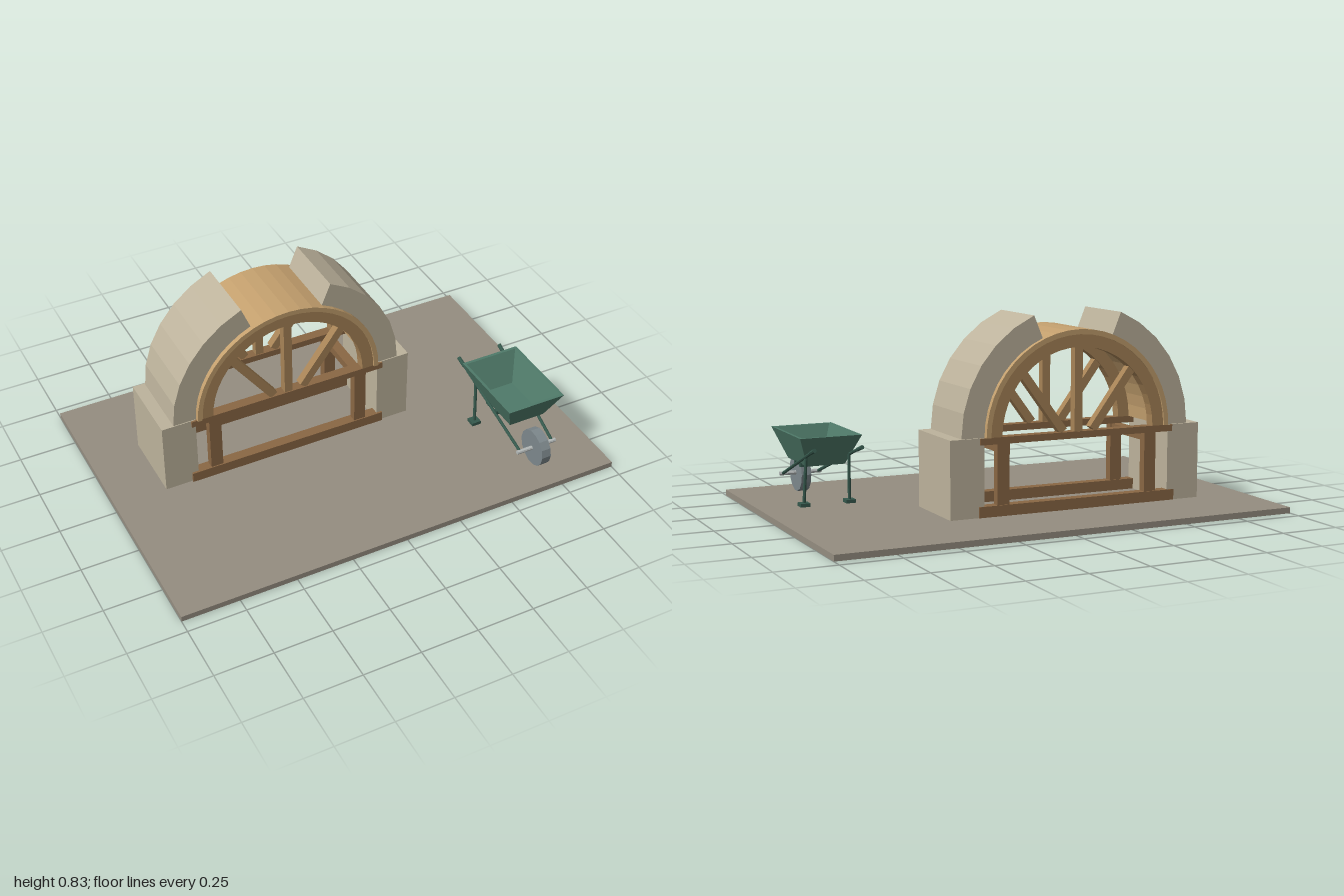
import * as THREE from 'three';

const mat = (color, side = THREE.FrontSide) =>
  new THREE.MeshStandardMaterial({ color, flatShading: true, side });
const GROUND = mat(0x958d80), STONE = mat(0xbdb39c), BOARD = mat(0xc4a06e), RIB = mat(0xa88457);
const TIMBER = mat(0x8a6744), GREEN = mat(0x4f7a69), DARK = mat(0x35584c);
const STEEL = mat(0x7d888c), AXLE = mat(0xb4b9b8);

const CX = -0.195, SPRING = 0.348, MID_Z = -0.17, FLOOR = 0.025;

function add(parent, name, geometry, material) {
  const mesh = new THREE.Mesh(geometry, material);
  mesh.name = name;
  parent.add(mesh);
  return mesh;
}

// Box given by its limits on each axis
function box(parent, name, [x0, x1], [y0, y1], [z0, z1], material) {
  const mesh = add(parent, name, new THREE.BoxGeometry(x1 - x0, y1 - y0, z1 - z0), material);
  mesh.position.set((x0 + x1) / 2, (y0 + y1) / 2, (z0 + z1) / 2);
  return mesh;
}

// Round bar between two points
function rod(parent, name, a, b, radius, material, sides = 8) {
  const p = new THREE.Vector3(...a), q = new THREE.Vector3(...b);
  const mesh = add(parent, name, new THREE.CylinderGeometry(radius, radius, p.distanceTo(q), sides), material);
  mesh.position.copy(p).add(q).multiplyScalar(0.5);
  mesh.quaternion.setFromUnitVectors(new THREE.Vector3(0, 1, 0), q.sub(p).normalize());
  return mesh;
}

// Faceted arch band around the springing centre, angles in degrees
function arch(parent, name, r0, r1, a0, a1, segments, z0, z1, material) {
  const points = [];
  const at = (r, i) => {
    const a = THREE.MathUtils.degToRad(a0 + (a1 - a0) * i / segments);
    return new THREE.Vector2(r * Math.cos(a), r * Math.sin(a));
  };
  for (let i = 0; i <= segments; i++) points.push(at(r1, i));
  for (let i = segments; i >= 0; i--) points.push(at(r0, i));
  const geometry = new THREE.ExtrudeGeometry(new THREE.Shape(points), { depth: z1 - z0, bevelEnabled: false });
  const mesh = add(parent, name, geometry, material);
  mesh.position.set(CX, SPRING, z0);
  return mesh;
}

// One timber frame, from its outer face z0 to z1
function timberFrame(z0, z1) {
  const frame = new THREE.Group();
  frame.name = 'centeringFrame';
  const z = [z0, z1], inner = [z0 + 0.005, z1 - 0.005];
  box(frame, 'sill', [-0.65, 0.255], [FLOOR, 0.07], z, TIMBER);
  box(frame, 'capBeam', [-0.64, 0.25], [0.32, SPRING], z, TIMBER);
  for (const s of [-1, 1]) {
    const x = CX + s * 0.34;
    box(frame, 'post', [x - 0.027, x + 0.027], [0.07, 0.32], inner, TIMBER);
  }
  arch(frame, 'archRib', 0.348, 0.402, 0, 180, 24, z0, z1, RIB);
  box(frame, 'kingStrut', [CX - 0.018, CX + 0.018], [SPRING, 0.7], inner, RIB);
  for (const s of [-1, 1]) {
    const strut = add(frame, 'diagonalStrut', new THREE.BoxGeometry(0.036, 0.3, z1 - z0 - 0.01), RIB);
    strut.position.set(CX + s * 0.158, 0.473, (z0 + z1) / 2);
    strut.rotation.z = -s * 0.64;
  }
  return frame;
}

// Open tapered tray: four rectangular loops joined by side walls, closed by two floors
function trayGeometry() {
  const loops = [[0.083, 0.2, 0.446, 0.19], [0.135, 0.127, 0.51, 0.32],
    [0.123, 0.14, 0.497, 0.32], [0.071, 0.214, 0.43, 0.2]]
    .map(([w, z0, z1, y]) => [[-w, y, z1], [w, y, z1], [w, y, z0], [-w, y, z0]]);
  const positions = [];
  const quad = (a, b, c, d) => [a, b, c, a, c, d].forEach(p => positions.push(...p));
  for (let k = 0; k < 3; k++)
    for (let i = 0; i < 4; i++) {
      const j = (i + 1) % 4;
      quad(loops[k][i], loops[k][j], loops[k + 1][j], loops[k + 1][i]);
    }
  quad(...[...loops[0]].reverse());
  quad(...loops[3]);
  const geometry = new THREE.BufferGeometry();
  geometry.setAttribute('position', new THREE.Float32BufferAttribute(positions, 3));
  geometry.computeVertexNormals();
  return geometry;
}

function wheelbarrow() {
  const barrow = new THREE.Group();
  barrow.name = 'wheelbarrow';
  add(barrow, 'tray', trayGeometry(), GREEN);

  const wheel = add(barrow, 'wheel', new THREE.CylinderGeometry(0.082, 0.082, 0.043, 14), STEEL);
  wheel.rotation.z = Math.PI / 2;
  wheel.position.set(0, 0.107, 0.533);
  rod(barrow, 'axle', [-0.095, 0.107, 0.533], [0.095, 0.107, 0.533], 0.009, AXLE);

  // Handles, legs and feet on both sides
  for (const s of [-1, 1]) {
    rod(barrow, 'handle', [s * 0.08, 0.107, 0.533], [s * 0.102, 0.277, 0.06], 0.007, DARK);
    rod(barrow, 'grip', [s * 0.101, 0.266, 0.09], [s * 0.103, 0.282, 0.043], 0.009, DARK);
    rod(barrow, 'leg', [s * 0.094, 0.235, 0.178], [s * 0.1, 0.035, 0.195], 0.007, DARK);
    box(barrow, 'foot', [s * 0.1 - 0.021, s * 0.1 + 0.021], [FLOOR, 0.04], [0.173, 0.216], DARK);
  }
  // Cross bars carrying the tray
  for (const z of [0.34, 0.272])
    box(barrow, 'trayBearer', [-0.09, 0.09], [0.178, 0.196], [z - 0.009, z + 0.009], DARK);
  barrow.position.x = 0.71;
  return barrow;
}

export function createModel() {
  const model = new THREE.Group();
  model.name = 'archUnderConstruction';
  box(model, 'ground', [-1, 1], [0, FLOOR], [-0.692, 0.692], GROUND);

  // Stone piers and the two unfinished halves of the arch
  for (const s of [-1, 1]) {
    const x = CX + s * 0.5;
    box(model, 'pier', [x - 0.075, x + 0.075], [FLOOR, SPRING], [-0.335, -0.013], STONE);
    const start = s > 0 ? 0 : 112.5;
    arch(model, 'stoneArch', 0.42, 0.522, start, start + 67.5, 6, -0.326, -0.017, STONE);
  }

  // Timber centering: boarding over two frames, tied together at the posts
  arch(model, 'boarding', 0.4, 0.421, 0, 180, 24, -0.347, 0.004, BOARD);
  model.add(timberFrame(-0.05, -0.004), timberFrame(-0.34, -0.294));
  for (const s of [-1, 1]) {
    const x = CX + s * 0.34;
    box(model, 'crossTie', [x - 0.022, x + 0.022], [0.285, 0.32], [MID_Z - 0.13, MID_Z + 0.13], TIMBER);
  }

  model.add(wheelbarrow());
  return model;
}
